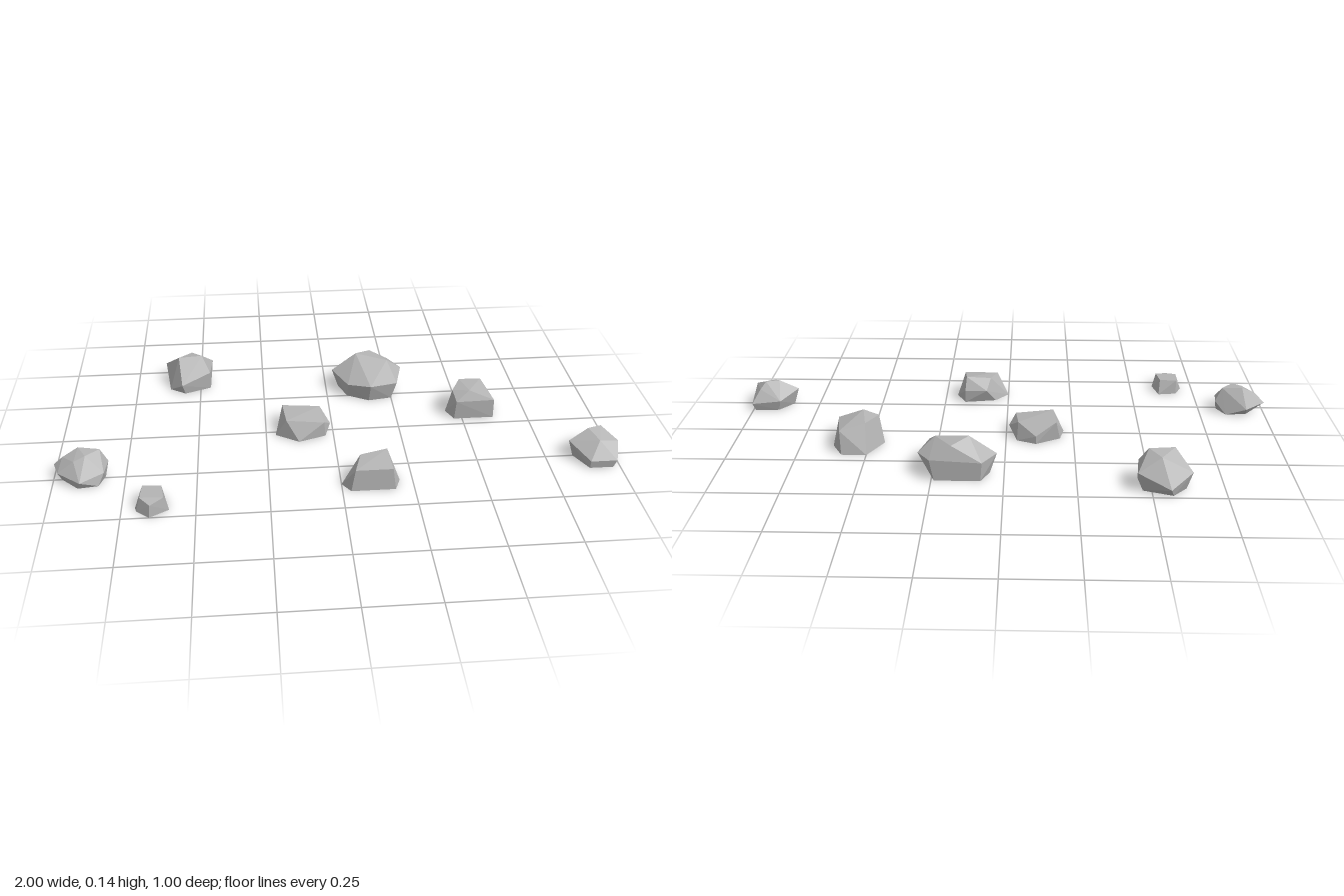
import * as THREE from 'three';
import { ConvexGeometry } from 'three/addons/geometries/ConvexGeometry.js';

const stone = new THREE.MeshStandardMaterial({ color: 0xb4b4b4 });
stone.name = 'stone grey';

// A faceted stone: the hull of a ground outline [x, z] and upper corners [x, y, z]
function rock(name, ground, corners) {
  const points = [
    ...ground.map(([x, z]) => new THREE.Vector3(x, 0, z)),
    ...corners.map(([x, y, z]) => new THREE.Vector3(x, y, z)),
  ];
  const mesh = new THREE.Mesh(new ConvexGeometry(points), stone);
  mesh.name = name;
  return mesh;
}

export function createModel() {
  const group = new THREE.Group();
  group.name = 'scatteredRocks';

  // Back row
  group.add(rock('backRightRock',
    [[-0.62, -0.43], [-0.57, -0.485], [-0.47, -0.45], [-0.46, -0.36], [-0.56, -0.32], [-0.62, -0.36]],
    [[-0.56, 0.03, -0.505], [-0.45, 0.07, -0.46], [-0.46, 0.07, -0.355], [-0.57, 0.04, -0.31], [-0.636, 0.07, -0.45],
      [-0.58, 0.13, -0.38], [-0.49, 0.13, -0.39], [-0.53, 0.12, -0.44]]));
  group.add(rock('largeBackRock',
    [[0.05, -0.33], [0.08, -0.395], [0.24, -0.395], [0.27, -0.31], [0.25, -0.22], [0.16, -0.205], [0.08, -0.25]],
    [[0.025, 0.075, -0.33], [0.075, 0.07, -0.4], [0.255, 0.08, -0.4], [0.3, 0.075, -0.33], [0.27, 0.07, -0.21],
      [0.165, 0.07, -0.185], [0.08, 0.06, -0.23], [0.12, 0.143, -0.335], [0.24, 0.125, -0.3], [0.18, 0.128, -0.385]]));

  // Middle row
  group.add(rock('middleLeftRock',
    [[0.445, -0.1], [0.5, -0.205], [0.59, -0.205], [0.63, -0.13], [0.62, -0.04], [0.47, -0.04]],
    [[0.475, 0.075, -0.035], [0.62, 0.075, -0.04], [0.465, 0.103, -0.08], [0.525, 0.113, -0.055],
      [0.505, 0.105, -0.16], [0.595, 0.087, -0.19]]));
  group.add(rock('middleRock',
    [[-0.215, 0.02], [-0.2, -0.05], [-0.11, -0.1], [-0.04, -0.07], [-0.03, 0.04], [-0.13, 0.075]],
    [[-0.01, 0.03, 0], [-0.11, 0.03, -0.1], [-0.185, 0.075, -0.07], [-0.045, 0.07, -0.06],
      [-0.035, 0.06, 0.045], [-0.175, 0.075, 0.045]]));

  // Front row
  group.add(rock('frontRightRock',
    [[-0.97, 0.25], [-0.93, 0.19], [-0.85, 0.18], [-0.82, 0.24], [-0.84, 0.3], [-0.91, 0.31]],
    [[-1, 0.04, 0.21], [-0.925, 0.03, 0.16], [-0.81, 0.045, 0.21], [-0.82, 0.04, 0.28], [-0.9, 0.03, 0.325],
      [-0.98, 0.04, 0.27], [-0.965, 0.075, 0.22], [-0.91, 0.103, 0.205], [-0.835, 0.098, 0.215],
      [-0.88, 0.1, 0.26], [-0.92, 0.085, 0.27]]));
  group.add(rock('smallRock',
    [[-0.705, 0.44], [-0.68, 0.385], [-0.61, 0.375], [-0.59, 0.46], [-0.655, 0.5], [-0.7, 0.46]],
    [[-0.685, 0.055, 0.46], [-0.68, 0.055, 0.39], [-0.615, 0.055, 0.395], [-0.605, 0.055, 0.465],
      [-0.65, 0.045, 0.495]]));
  group.add(rock('frontRock',
    [[0, 0.36], [0.05, 0.3], [0.17, 0.28], [0.205, 0.35], [0.185, 0.405], [0.03, 0.405]],
    [[0.085, 0.05, 0.275], [0.17, 0.05, 0.275], [0.045, 0.08, 0.4], [0.175, 0.08, 0.4],
      [0.07, 0.09, 0.315], [0.165, 0.1, 0.3]]));
  group.add(rock('frontLeftRock',
    [[0.85, 0.25], [0.9, 0.185], [0.99, 0.18], [0.995, 0.3], [0.975, 0.335], [0.89, 0.335]],
    [[0.83, 0.065, 0.25], [0.89, 0.04, 0.175], [1, 0.03, 0.17], [1, 0.075, 0.28], [0.985, 0.03, 0.34],
      [0.89, 0.03, 0.34], [0.9, 0.105, 0.235], [0.95, 0.105, 0.22], [0.97, 0.08, 0.2], [0.93, 0.085, 0.29]]));

  return group;
}
